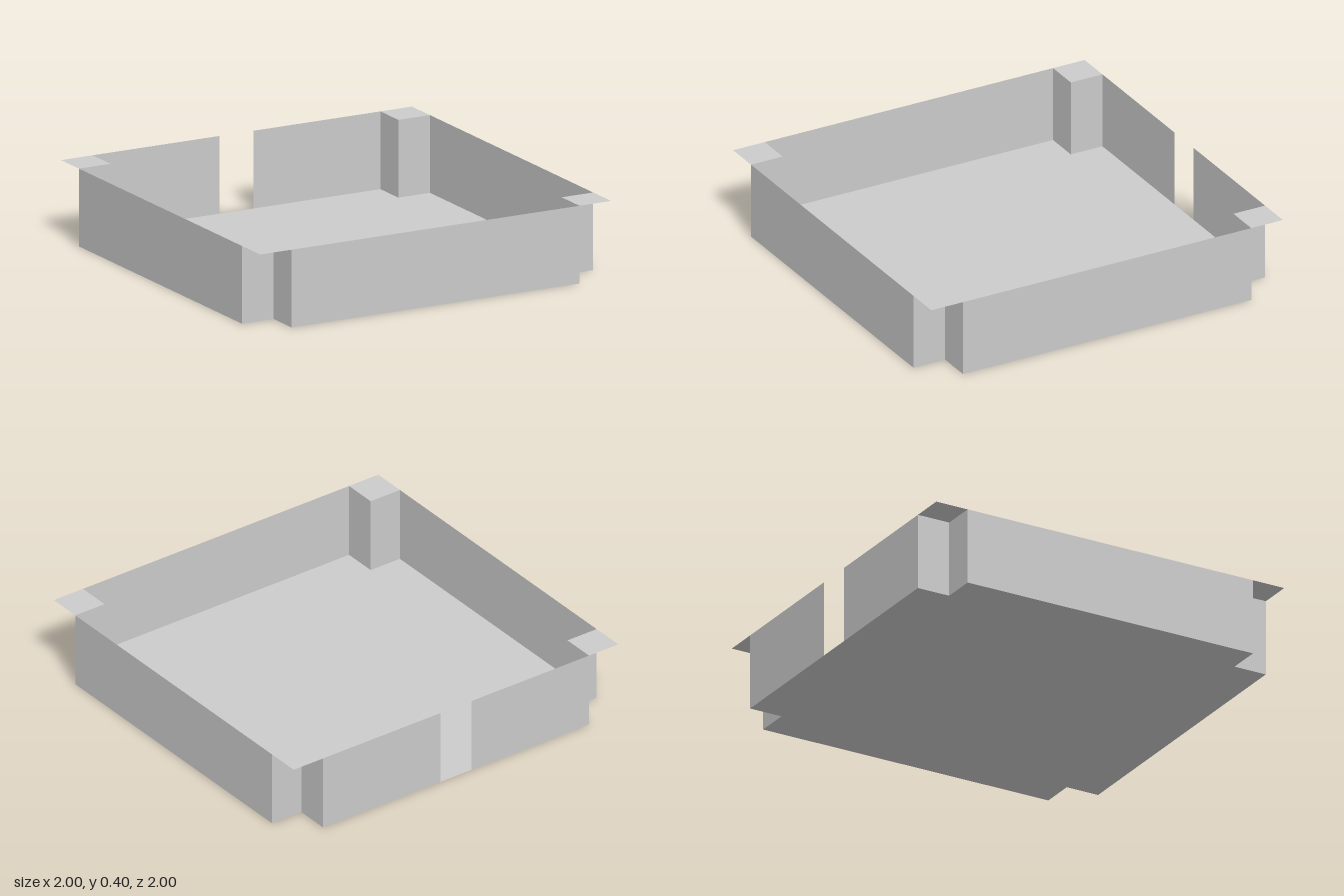
import * as THREE from 'three';

const S = 1;      // half width of the tray
const N = 0.82;   // inner edge of the corner notches
const H = 0.4;    // wall height
const GAP = 0.096; // half width of the opening in the back wall

export function createModel() {
  const group = new THREE.Group();
  const material = new THREE.MeshStandardMaterial({
    color: 0xcccccc, side: THREE.DoubleSide, flatShading: true,
  });

  const add = (name, geometry) => {
    const mesh = new THREE.Mesh(geometry, material);
    mesh.name = name;
    group.add(mesh);
    return mesh;
  };

  // Thin upright panel between two floor points, facing outwards
  const panel = (name, [x0, z0], [x1, z1]) => {
    const mesh = add(name, new THREE.PlaneGeometry(Math.hypot(x1 - x0, z1 - z0), H));
    mesh.position.set((x0 + x1) / 2, H / 2, (z0 + z1) / 2);
    mesh.rotation.y = Math.atan2(-(z1 - z0), x1 - x0);
  };

  // Floor: a square with its four corners cut out
  const outline = [
    [-N, S], [N, S], [N, N], [S, N], [S, -N], [N, -N],
    [N, -S], [-N, -S], [-N, -N], [-S, -N], [-S, N], [-N, N],
  ];
  const floorShape = new THREE.Shape(outline.map(([x, z]) => new THREE.Vector2(x, -z)));
  add('floor', new THREE.ShapeGeometry(floorShape).rotateX(-Math.PI / 2));

  // Walls follow the floor outline; the back wall is split by an opening
  const names = ['frontWall', 'notchWall', 'notchWall', 'rightSideWall', 'notchWall', 'notchWall',
    'backWall', 'notchWall', 'notchWall', 'leftSideWall', 'notchWall', 'notchWall'];
  outline.forEach((a, i) => {
    const b = outline[(i + 1) % outline.length];
    if (names[i] === 'backWall') {
      panel('backWallHalf', a, [GAP, -S]);
      panel('backWallHalf', [-GAP, -S], b);
    } else {
      panel(names[i], a, b);
    }
  });

  // Flat plates closing the corner notches at the rim
  for (const sx of [-1, 1]) {
    for (const sz of [-1, 1]) {
      const plate = add('cornerPlate', new THREE.PlaneGeometry(S - N, S - N).rotateX(-Math.PI / 2));
      plate.position.set(sx * (S + N) / 2, H, sz * (S + N) / 2);
    }
  }

  return group;
}
